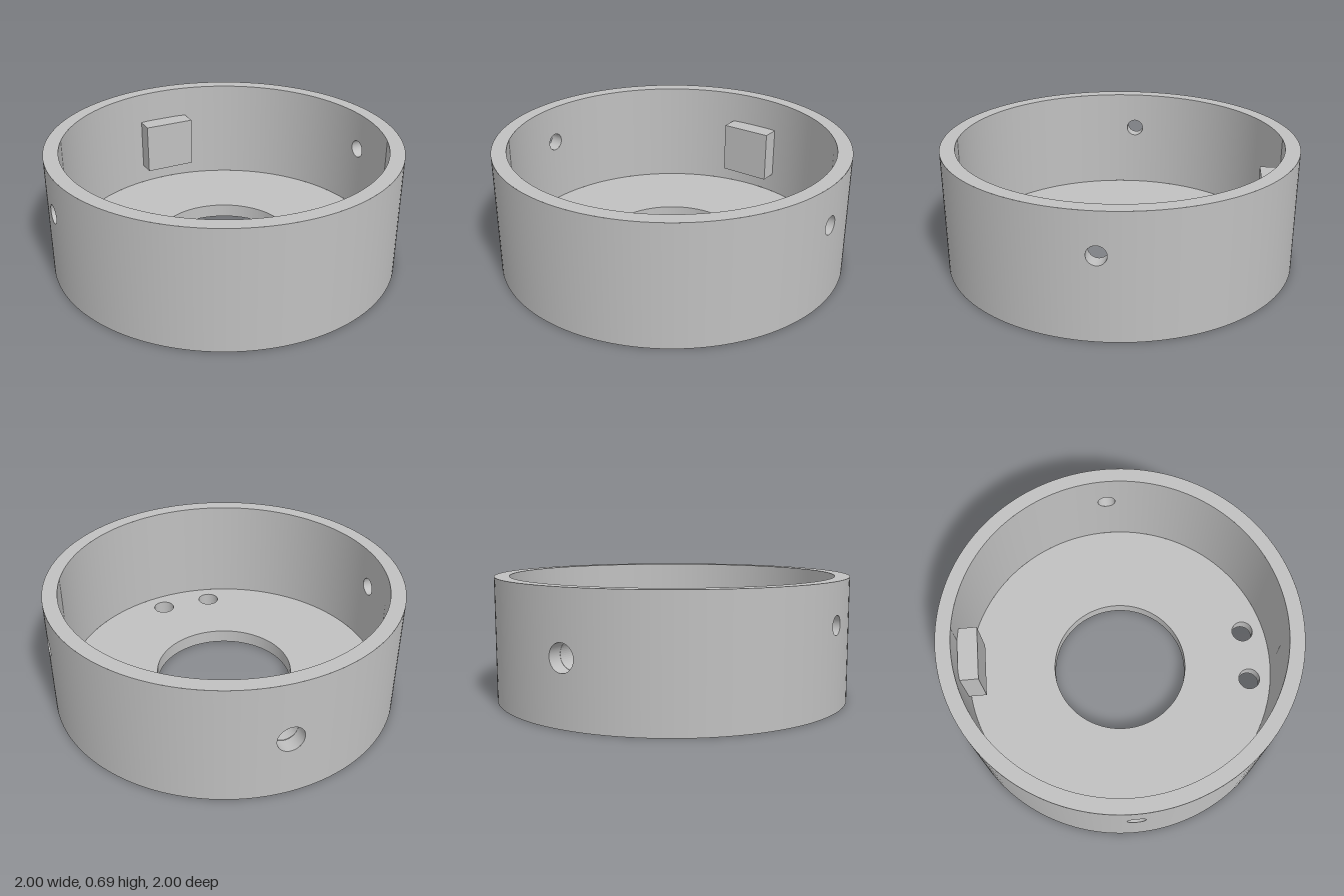
import * as THREE from 'three';
import { ParametricGeometry } from 'three/addons/geometries/ParametricGeometry.js';

const R = 1, RI = 0.917;            // outer and inner wall radius
const H = 0.695, FLOOR = 0.08;      // total height, floor thickness
const D = Math.PI / 16;             // half angle of a wall panel holding a bore
const BACK_Y = 0.353, BACK_R = 0.075;

export function createModel() {
  const model = new THREE.Group();
  const grey = new THREE.MeshStandardMaterial({ color: 0xc0c0c0, side: THREE.DoubleSide });
  grey.name = 'grey';

  const add = (name, geometry, parent = model) => {
    const mesh = new THREE.Mesh(geometry, grey);
    mesh.name = name;
    parent.add(mesh);
    return mesh;
  };

  // point on a cylinder of the given radius, around +z
  const onWall = (r, s, y, out) => out.set(s, y, Math.sqrt(r * r - s * s));

  // curved panel with a round hole: blends a rectangle into a circle
  const panel = (radius, y0, y1, cy, r, inward) => {
    const w = radius * Math.sin(D);
    const corners = [[w, y0], [w, y1], [-w, y1], [-w, y0]];
    return new ParametricGeometry((u, v, out) => {
      const k = Math.floor(u * 4) % 4, f = u * 4 - Math.floor(u * 4);
      const a = corners[k], b = corners[(k + 1) % 4];
      const x = a[0] + (b[0] - a[0]) * f, y = a[1] + (b[1] - a[1]) * f;
      const scale = r / Math.hypot(x, y - cy);
      const m = inward ? 1 - v : v;
      onWall(radius, x + (x * scale - x) * m, y + ((y - cy) * scale + cy - y) * m, out);
    }, 64, 8);
  };

  // lining of a straight bore through the wall
  const bore = (cy, r) => new ParametricGeometry((u, v, out) => {
    const a = u * Math.PI * 2;
    onWall(R + (RI - R) * v, r * Math.cos(a), cy + r * Math.sin(a), out);
  }, 48, 1);

  // bored wall panels: both sides and the back
  const holes = [
    ['left', Math.PI / 2, 0.467, 0.052],
    ['back', Math.PI, BACK_Y, BACK_R],
    ['right', Math.PI * 1.5, 0.467, 0.052],
  ];
  for (const [side, angle, cy, r] of holes) {
    const g = new THREE.Group();
    g.name = side + 'BoredPanel';
    g.rotation.y = angle;
    add(side + 'OuterPanel', panel(R, 0, H, cy, r, false), g);
    add(side + 'InnerPanel', panel(RI, FLOOR, H, cy, r, true), g);
    add(side + 'Bore', bore(cy, r), g);
    model.add(g);
  }

  // plain wall arcs between the bored panels
  const arcs = [
    ['front', -Math.PI / 2, Math.PI / 2],
    ['backLeft', Math.PI / 2, Math.PI],
    ['backRight', Math.PI, Math.PI * 1.5],
  ];
  for (const [name, from, to] of arcs) {
    const arc = (radius, y0) => new THREE.CylinderGeometry(
      radius, radius, H - y0, Math.round((to - from) * 20), 1, true, from + D, to - from - 2 * D
    ).translate(0, (H + y0) / 2, 0);
    add(name + 'OuterWall', arc(R, 0));
    add(name + 'InnerWall', arc(RI, FLOOR));
  }

  // rim and underside ring of the wall
  const ring = () => new THREE.RingGeometry(RI, R, 128);
  add('topRim', ring().rotateX(-Math.PI / 2).translate(0, H, 0));
  add('bottomRim', ring().rotateX(Math.PI / 2));

  // floor with the large opening and two small front holes
  const floor = new THREE.Shape().absarc(0, 0, RI, 0, Math.PI * 2);
  for (const [x, z, r] of [[0, 0, 0.397], [-0.155, 0.775, 0.063], [0.155, 0.775, 0.063]]) {
    floor.holes.push(new THREE.Path().absarc(x, -z, r, 0, Math.PI * 2, true));
  }
  add('floor', new THREE.ExtrudeGeometry(floor, { depth: FLOOR, bevelEnabled: false, curveSegments: 64 })
    .rotateX(-Math.PI / 2));

  // block on the back wall, its blind bore closed by the front slab
  const w = 0.155, h = 0.153;
  const block = new THREE.Shape([[-w, -h], [w, -h], [w, h], [-w, h]].map(p => new THREE.Vector2(...p)));
  block.holes.push(new THREE.Path().absarc(0, 0, BACK_R, 0, Math.PI * 2, true));
  add('blockBody', new THREE.ExtrudeGeometry(block, { depth: 0.093, bevelEnabled: false, curveSegments: 24 }))
    .position.set(0, BACK_Y, -0.913);
  add('blockFront', new THREE.BoxGeometry(2 * w, 2 * h, 0.02)).position.set(0, BACK_Y, -0.81);

  return model;
}
